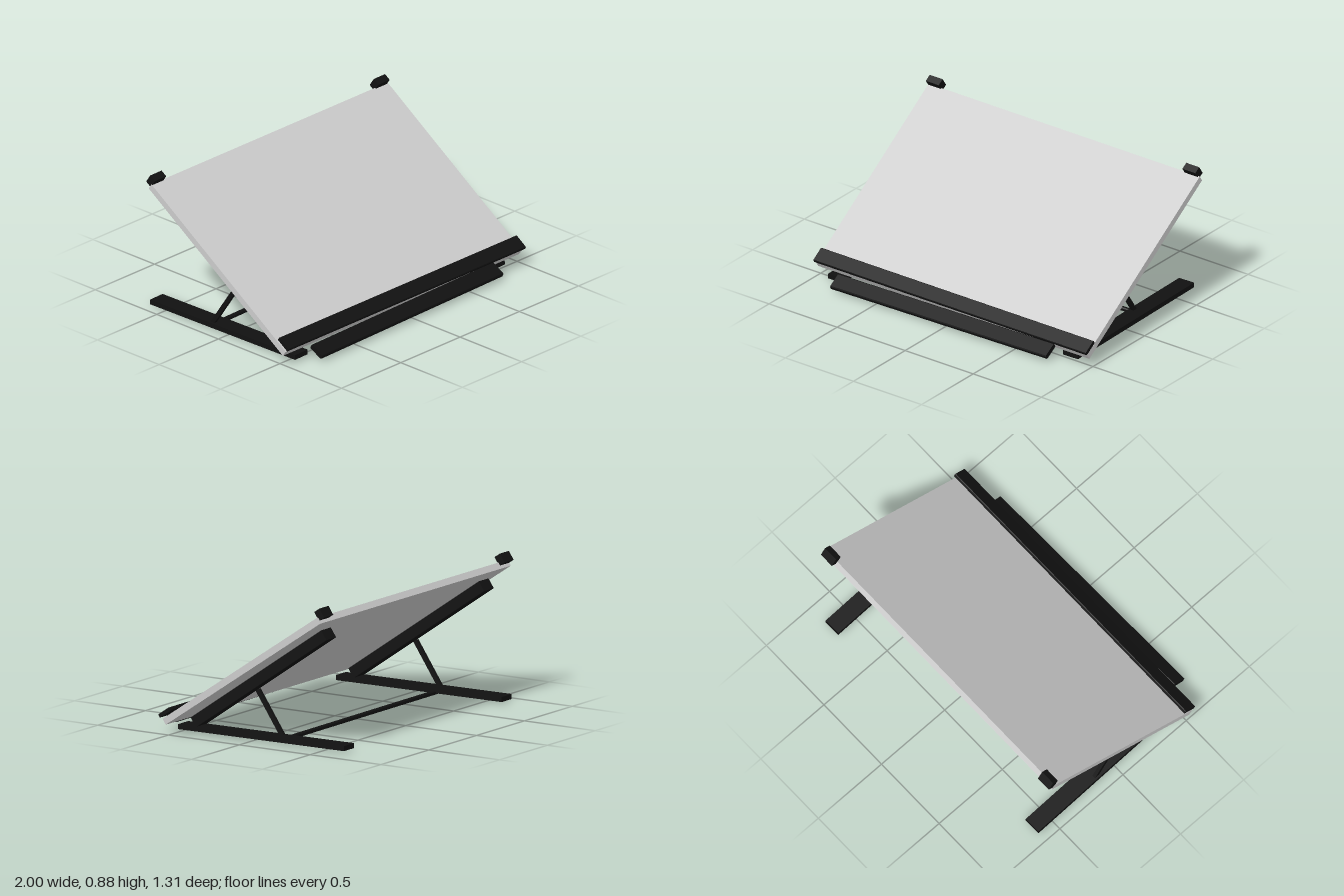
import * as THREE from 'three';

const grey = new THREE.MeshStandardMaterial({ color: 0xcccccc, flatShading: true });
const black = new THREE.MeshStandardMaterial({ color: 0x111111, flatShading: true });

// Box with chamfered long edges, running along x; d is depth (z), h is height (y)
function barGeometry(w, h, d, c) {
  const a = d / 2, b = h / 2;
  const pts = [[-a + c, -b], [a - c, -b], [a, -b + c], [a, b - c],
    [a - c, b], [-a + c, b], [-a, b - c], [-a, -b + c]];
  const shape = new THREE.Shape(pts.map(([x, y]) => new THREE.Vector2(x, y)));
  const geo = new THREE.ExtrudeGeometry(shape, { depth: w, bevelEnabled: false });
  geo.translate(0, 0, -w / 2);
  geo.rotateY(Math.PI / 2);
  return geo;
}

function add(parent, name, geo, mat, pos, tilt = 0) {
  const mesh = new THREE.Mesh(geo, mat);
  mesh.name = name;
  mesh.position.set(...pos);
  mesh.rotation.x = tilt;
  parent.add(mesh);
  return mesh;
}

export function createModel() {
  const model = new THREE.Group();
  model.name = 'draftingBoard';
  const slope = 0.591;

  // Sloping board
  add(model, 'board', new THREE.BoxGeometry(1.992, 0.04, 1.313), grey, [-0.004, 0.4445, -0.0095], slope);

  // Ledge along the lower edge of the board
  add(model, 'paperLedge', barGeometry(2, 0.023, 0.094, 0.004), black, [0, 0.136, 0.528], slope);

  // Corner stops on the upper edge
  for (const x of [-0.952, 0.933]) {
    add(model, 'cornerStop', new THREE.BoxGeometry(0.095, 0.06, 0.045), black, [x, 0.844, -0.551], slope);
  }

  // Stand, sitting slightly askew under the board
  const stand = new THREE.Group();
  stand.name = 'stand';
  stand.position.set(-0.023, 0, -0.055);
  stand.rotation.set(0, 0.0206, 0.004);
  model.add(stand);

  for (const side of [-1, 1]) {
    const x = side * 0.85;
    add(stand, 'foot', new THREE.BoxGeometry(0.108, 0.03, 1.155), black, [x, 0.032, 0]);
    add(stand, 'rail', new THREE.BoxGeometry(0.105, 0.066, 1.1), black, [x, 0.381, 0.02], 0.602);
    // Strut holding the rail up from the foot
    add(stand, 'strut', new THREE.BoxGeometry(0.022, 0.335, 0.026), black,
      [side * 0.85 - 0.03, 0.158, -0.018], 0.592);
  }

  // Rod joining the lower ends of the struts
  add(stand, 'crossRod', barGeometry(1.72, 0.024, 0.026, 0.006), black, [-0.03, 0.02, -0.106]);

  // Front tray between the feet
  add(stand, 'frontTray', barGeometry(1.56, 0.03, 0.1, 0.006), black, [-0.02, 0.057, 0.652], 0.52);

  return model;
}
